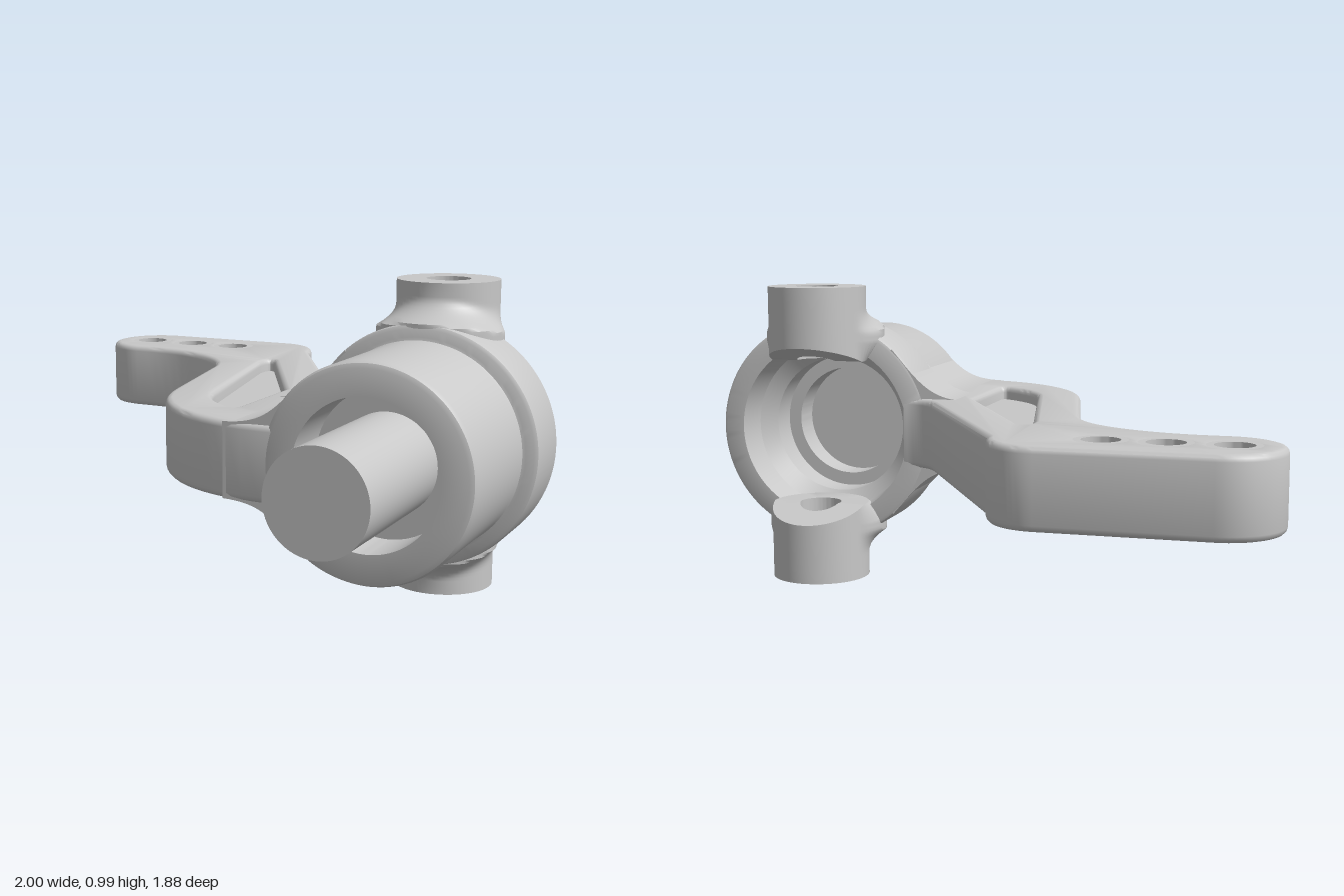
import * as THREE from 'three';
import { toCreasedNormals } from 'three/addons/utils/BufferGeometryUtils.js';

const CX = 0.623, CY = 0.4925;           // hub axis, parallel to z
const BOSS_Z = -0.085;                   // pivot axis, parallel to y
const ARM_LOW = 0.375, ARM_HIGH = 0.61;  // arm thickness range
const BEVEL = 0.02;

export function createModel() {
  const model = new THREE.Group();
  model.name = 'steeringKnuckle';
  const metal = new THREE.MeshStandardMaterial({ color: 0xc8c8c8 });
  metal.name = 'greyMetal';

  const add = (name, geometry) => {
    const mesh = new THREE.Mesh(toCreasedNormals(geometry, 0.6), metal);
    mesh.name = name;
    model.add(mesh);
    return mesh;
  };
  const lathe = (points, segments) =>
    new THREE.LatheGeometry(points.map(([r, h]) => new THREE.Vector2(r, h)), segments);

  // Hub: flange, sleeve and stepped bore in one closed profile
  const hub = lathe([
    [0.3, -0.045], [0.362, -0.045], [0.371, -0.041], [0.376, -0.03],
    [0.376, 0.15], [0.373, 0.161], [0.362, 0.168], [0.337, 0.17], [0.328, 0.173], [0.325, 0.182],
    [0.325, 0.58], [0.319, 0.594], [0.305, 0.6],
    [0.226, 0.6], [0.226, 0.42], [0.19, 0.42], [0.19, 0.2],
    [0.235, 0.2], [0.235, 0.1], [0.285, 0.06], [0.3, -0.045],
  ], 144);
  hub.rotateX(Math.PI / 2);
  const hubPos = hub.attributes.position;
  for (let i = 0; i < hubPos.count; i++) { // keep the pivot holes clear of the flange
    const x = hubPos.getX(i);
    if (Math.abs(x) < 0.073) {
      hubPos.setZ(i, Math.max(hubPos.getZ(i), Math.sqrt(0.073 ** 2 - x * x) + BOSS_Z));
    }
  }
  add('hub', hub).position.set(CX, CY, 0);

  // Axle stub with a head seated in the bore
  const axle = lathe([
    [0, 0.3], [0.2, 0.3], [0.2, 0.42], [0.226, 0.42], [0.226, 0.425], [0.154, 0.425],
    [0.154, 0.938], [0, 0.938],
  ], 64);
  axle.rotateX(Math.PI / 2);
  add('axleStub', axle).position.set(CX, CY, 0);

  // Pivot bosses: hollow cylinders flaring into the flange towards the front
  const outerRows = Array.from({ length: 15 }, (_, i) => [0.163, 0.795 + i * 0.0105]);
  const boss = lathe([
    [0.07, 0.735], [0.163, 0.735], ...outerRows,
    [0.163, 0.985], [0.07, 0.985], [0.07, 0.735],
  ], 72);
  const pos = boss.attributes.position;
  for (let i = 0; i < pos.count; i++) {
    let x = pos.getX(i), y = pos.getY(i), z = pos.getZ(i);
    const r = Math.hypot(x, z);
    if (y < 0.74) {
      y += Math.max(0, -z - 0.015) * 0.35; // sloped inner face
    } else if (r > 0.1) {
      const flangeTop = CY + Math.sqrt(0.376 ** 2 - x * x);
      const rise = THREE.MathUtils.clamp((flangeTop + 0.075 - y) / 0.075, 0, 1);
      const side = THREE.MathUtils.clamp(0.25 + 0.9 * z / r, 0, 1);
      const scale = 1 + side * 0.09 * rise ** 2 / r;
      x *= scale;
      z *= scale;
    }
    pos.setXYZ(i, x, y - CY, z);
  }
  for (const [name, angle] of [['upperPivotBoss', 0], ['lowerPivotBoss', Math.PI]]) {
    const mesh = add(name, boss);
    mesh.position.set(CX, CY, BOSS_Z);
    mesh.rotation.z = angle;
  }

  // Steering arm, outlined in plan (x, z)
  const plan = new THREE.Shape();
  plan.moveTo(-0.825, -0.94);
  plan.lineTo(-0.34, -0.94);
  plan.bezierCurveTo(-0.25, -0.94, -0.18, -0.88, -0.165, -0.77);
  plan.lineTo(0.21, -0.12);
  plan.quadraticCurveTo(0.25, -0.045, 0.335, -0.045);
  plan.lineTo(0.335, 0.44);
  plan.lineTo(0.385, 0.44);
  plan.lineTo(0.385, 0.599);
  plan.lineTo(0.29, 0.599);
  plan.bezierCurveTo(0.03, 0.599, -0.17, 0.42, -0.225, 0.18);
  plan.lineTo(-0.33, -0.3);
  plan.bezierCurveTo(-0.38, -0.48, -0.57, -0.59, -0.78, -0.59);
  plan.lineTo(-0.825, -0.59);
  plan.absarc(-0.825, -0.765, 0.175, Math.PI / 2, Math.PI * 1.5, false);

  // Lightening pocket and three rod holes
  const pocket = new THREE.Path();
  pocket.moveTo(-0.21, -0.525);
  pocket.quadraticCurveTo(-0.195, -0.525, -0.185, -0.505);
  pocket.lineTo(0.105, 0.025);
  pocket.lineTo(0.105, 0.36);
  pocket.quadraticCurveTo(0.1, 0.385, 0.075, 0.365);
  pocket.bezierCurveTo(-0.02, 0.3, -0.065, 0.23, -0.085, 0.13);
  pocket.lineTo(-0.22, -0.46);
  pocket.quadraticCurveTo(-0.225, -0.52, -0.21, -0.525);
  const holeXs = [-0.855, -0.67, -0.49], holeZ = -0.765;
  const holes = holeXs.map((x) => new THREE.Path().absarc(x, holeZ, 0.057, 0, Math.PI * 2));

  // Plan z becomes -y, so reverse the order to keep outlines counter-clockwise
  const flip = (path) => path.getPoints(14).map((p) => new THREE.Vector2(p.x, -p.y)).reverse();
  const armShape = new THREE.Shape(flip(plan));
  armShape.holes = [pocket, ...holes].map((h) => new THREE.Path(flip(h)));
  const arm = new THREE.ExtrudeGeometry(armShape, {
    depth: ARM_HIGH - ARM_LOW - 2 * BEVEL, bevelEnabled: true,
    bevelSize: BEVEL, bevelThickness: BEVEL, bevelOffset: -BEVEL, bevelSegments: 3,
  });
  arm.rotateX(-Math.PI / 2);
  arm.translate(0, ARM_LOW + BEVEL, 0);
  add('steeringArm', arm);

  // Straight liners keep the rod holes sharp-edged
  for (const x of holeXs) {
    const liner = lathe([
      [0.056, ARM_LOW], [0.078, ARM_LOW], [0.078, ARM_HIGH], [0.056, ARM_HIGH], [0.056, ARM_LOW],
    ], 40);
    add('rodHoleLiner', liner).position.set(x, 0, holeZ);
  }

  // Pocket floor, recessed on both faces
  const floor = new THREE.ExtrudeGeometry(new THREE.Shape(flip(pocket)), {
    depth: 0.145, bevelEnabled: false,
  });
  floor.rotateX(-Math.PI / 2);
  floor.translate(0, CY - 0.0725, 0);
  add('pocketFloor', floor);

  // Curved webs blending the arm into the flange and the sleeve
  const web = (name, startX, outer, inner, z0, z1) => {
    const a = 2.29; // angle where the blend meets the hub
    const ex = outer * Math.cos(a), ey = outer * Math.sin(a), sx = startX - CX;
    const s = new THREE.Shape();
    s.moveTo(sx, -0.116);
    s.lineTo(sx, 0.116);
    s.bezierCurveTo(sx + 0.12, 0.118, ex - 0.08, ey - 0.09, ex, ey);
    s.lineTo(inner * Math.cos(a), inner * Math.sin(a));
    s.absarc(0, 0, inner, a, Math.PI * 2 - a, false);
    s.lineTo(ex, -ey);
    s.bezierCurveTo(ex - 0.08, -ey + 0.09, sx + 0.12, -0.118, sx, -0.116);
    const g = new THREE.ExtrudeGeometry(s, {
      depth: z1 - z0, bevelEnabled: false, curveSegments: 16,
    });
    add(name, g).position.set(CX, CY, z0);
  };
  web('flangeWeb', 0.13, 0.374, 0.31, -0.042, 0.165);
  web('sleeveWeb', 0.17, 0.323, 0.28, 0.16, 0.588);

  return model;
}
